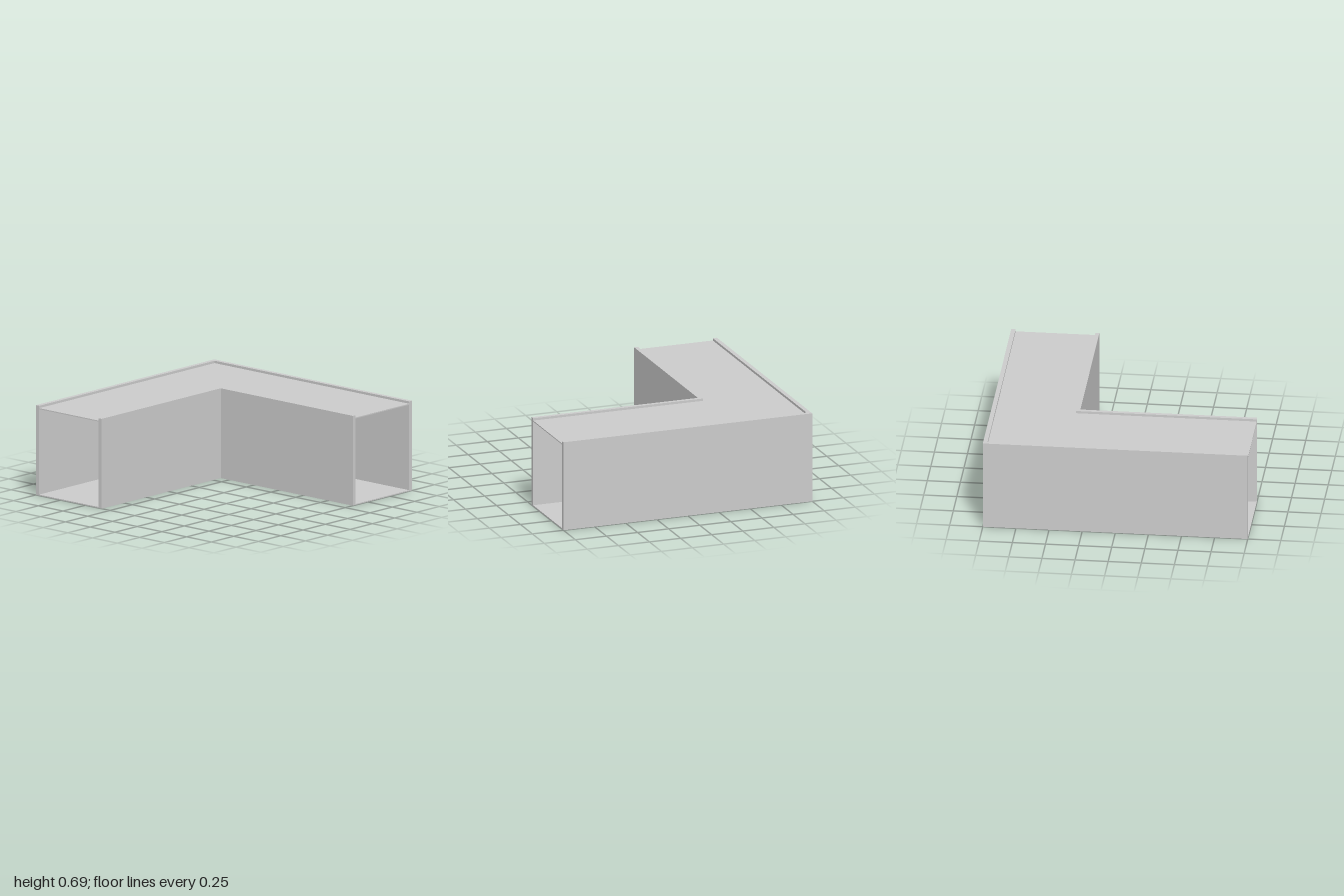
import * as THREE from 'three';

const material = new THREE.MeshStandardMaterial({ color: 0xcccccc, flatShading: true });

// L-shaped slab running along both legs, between offsets a and b, from y0 up to y1
function elbow(name, a, b, y0, y1) {
  const outline = [[a, a], [1, a], [1, b], [b, b], [b, 1], [a, 1]];
  const shape = new THREE.Shape(outline.map(([x, z]) => new THREE.Vector2(x, z)));
  const geometry = new THREE.ExtrudeGeometry(shape, { depth: y1 - y0, bevelEnabled: false });
  geometry.rotateX(Math.PI / 2).translate(0, y1, 0);
  const mesh = new THREE.Mesh(geometry, material);
  mesh.name = name;
  return mesh;
}

export function createModel() {
  const group = new THREE.Group();
  group.name = 'ductElbow';

  const height = 0.693;
  const outer = [-1, -0.967];
  const inner = [-0.365, -0.335];

  // Side walls, open at both ends
  group.add(elbow('outerWall', ...outer, 0, height));
  group.add(elbow('innerWall', ...inner, 0, height));

  // Thin panels between the walls; the lid sits just below the wall tops
  group.add(elbow('floorPanel', outer[1], inner[0], 0, 0.008));
  group.add(elbow('lidPanel', outer[1], inner[0], 0.667, 0.675));

  return group;
}
